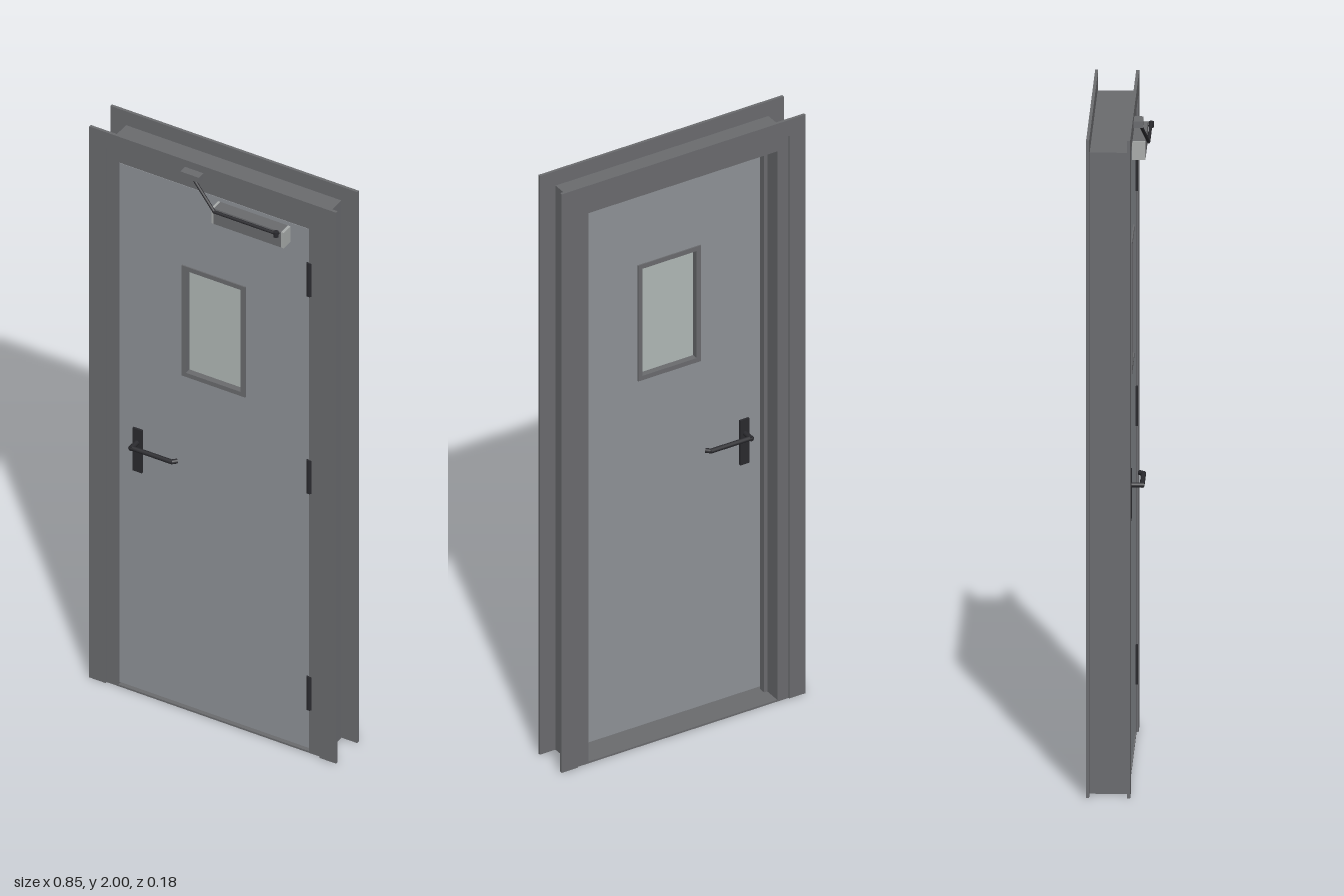
import * as THREE from 'three';

const mat = (name, color, extra = {}) => Object.assign(new THREE.MeshStandardMaterial({ color, ...extra }), { name });

export function createModel() {
  const door = new THREE.Group();
  door.name = 'door';

  const frameGrey = mat('frame grey', 0x6a6b6e);
  const leafGrey = mat('leaf grey', 0x8e9297);
  const glassGrey = mat('pale glass', 0xb0b8b6);
  const capGrey = mat('cap grey', 0xa9acab);
  const black = mat('black metal', 0x2a2a2e);

  const add = (name, geometry, material, parent = door) => {
    const mesh = new THREE.Mesh(geometry, material);
    mesh.name = name;
    parent.add(mesh);
    return mesh;
  };
  // Box given by its limits on each axis
  const box = (name, material, [x0, x1], [y0, y1], [z0, z1], parent) => {
    const mesh = add(name, new THREE.BoxGeometry(x1 - x0, y1 - y0, z1 - z0), material, parent);
    mesh.position.set((x0 + x1) / 2, (y0 + y1) / 2, (z0 + z1) / 2);
    return mesh;
  };
  // Flat outline, optionally with a hole, given thickness from z0 to z1
  const plate = (name, material, points, z0, z1, hole) => {
    const shape = new THREE.Shape(points.map(p => new THREE.Vector2(...p)));
    if (hole) shape.holes.push(new THREE.Path(hole.map(p => new THREE.Vector2(...p))));
    const geometry = new THREE.ExtrudeGeometry(shape, { depth: z1 - z0, bevelEnabled: false });
    return add(name, geometry.translate(0, 0, z0), material);
  };
  // Round bar between two points
  const rod = (name, material, a, b, radius, parent) => {
    const from = new THREE.Vector3(...a), dir = new THREE.Vector3(...b).sub(from);
    const mesh = add(name, new THREE.CylinderGeometry(radius, radius, dir.length(), 12), material, parent);
    mesh.position.copy(from).addScaledVector(dir, 0.5);
    mesh.quaternion.setFromUnitVectors(new THREE.Vector3(0, 1, 0), dir.normalize());
    return mesh;
  };
  const rect = (x, y0, y1) => [[-x, y0], [x, y0], [x, y1], [-x, y1]];

  // Mitred trim on both faces of the wall
  const outer = 0.424, inner = 0.367, top = 2, under = 1.945;
  for (const [z0, z1, face] of [[0.031, 0.04, 'front'], [-0.09, -0.081, 'back']]) {
    plate(`${face}TrimHead`, frameGrey, [[-inner, under], [inner, under], [outer, top], [-outer, top]], z0, z1);
    plate(`${face}TrimLeft`, frameGrey, [[inner, 0], [outer, 0], [outer, top], [inner, under]], z0, z1);
    plate(`${face}TrimRight`, frameGrey, [[-inner, 0], [-inner, under], [-outer, top], [-outer, 0]], z0, z1);
  }

  // Frame lining, door stops and threshold
  const lining = [-0.086, 0.034], stopZ = [-0.03, -0.008];
  for (const [s, side] of [[1, 'Left'], [-1, 'Right']]) {
    const span = (a, b) => (s > 0 ? [a, b] : [-b, -a]);
    box(`jamb${side}`, frameGrey, span(0.328, 0.37), [0, 1.95], lining);
    box(`stop${side}`, frameGrey, span(0.317, 0.328), [0, 1.902], stopZ);
  }
  box('headLining', frameGrey, [-0.328, 0.328], [1.902, 1.95], lining);
  box('headStop', frameGrey, [-0.317, 0.317], [1.891, 1.902], stopZ);
  box('threshold', frameGrey, [-0.328, 0.328], [0, 0.006], lining);

  // Door leaf with a window opening
  const leafZ = [-0.008, 0.032];
  plate('leaf', leafGrey, rect(0.325, 0.016, 1.899), ...leafZ, rect(0.1, 1.218, 1.602));
  plate('windowFrame', frameGrey, rect(0.109, 1.21, 1.61), leafZ[0] - 0.004, leafZ[1] + 0.004, rect(0.094, 1.225, 1.595));
  box('windowGlass', glassGrey, [-0.096, 0.096], [1.223, 1.597], [0.008, 0.016]);

  // Hinges
  for (const y of [0.217, 1.003, 1.718]) {
    rod('hingeBarrel', black, [0.327, y - 0.06, 0.031], [0.327, y + 0.06, 0.031], 0.009);
  }

  // Lever handle, one on each face
  const makeHandle = (name, z, dir) => {
    const handle = new THREE.Group();
    handle.name = name;
    const y = 0.912, zl = 0.038;
    box('handlePlate', black, [-0.276, -0.244], [0.806, 0.96], [0, 0.007], handle);
    rod('handleStem', black, [-0.261, y, 0], [-0.261, y, zl + 0.006], 0.008, handle);
    rod('lever', black, [-0.265, y, zl], [-0.12, y, zl], 0.0075, handle);
    rod('leverTip', black, [-0.123, y, zl], [-0.111, y, zl - 0.012], 0.0075, handle);
    handle.position.z = z;
    // Mirror the offsets in depth for the back handle
    if (dir < 0) handle.children.forEach(part => {
      part.position.z *= -1;
      part.quaternion.x *= -1;
      part.quaternion.y *= -1;
    });
    door.add(handle);
  };
  makeHandle('frontHandle', leafZ[1], 1);
  makeHandle('backHandle', leafZ[0], -1);

  // Door closer: body, end caps, bracket and folding arm
  const closer = new THREE.Group();
  closer.name = 'doorCloser';
  door.add(closer);
  box('closerBody', frameGrey, [0.022, 0.254], [1.83, 1.886], [0.03, 0.071], closer);
  box('closerCap', capGrey, [0.014, 0.022], [1.83, 1.886], [0.03, 0.071], closer);
  box('closerCap', capGrey, [0.254, 0.263], [1.83, 1.886], [0.03, 0.071], closer);
  box('closerBracket', frameGrey, [-0.095, -0.031], [1.956, 1.975], [0.038, 0.067], closer);
  rod('closerUpperArm', black, [-0.06, 1.961, 0.056], [0.028, 1.884, 0.08], 0.005, closer);
  rod('closerLowerArm', black, [0.026, 1.882, 0.08], [0.242, 1.882, 0.08], 0.005, closer);
  rod('closerPivot', black, [0.242, 1.872, 0.081], [0.242, 1.89, 0.081], 0.008, closer);
  rod('closerSpindle', black, [0.242, 1.88, 0.068], [0.242, 1.88, 0.084], 0.006, closer);

  return door;
}
